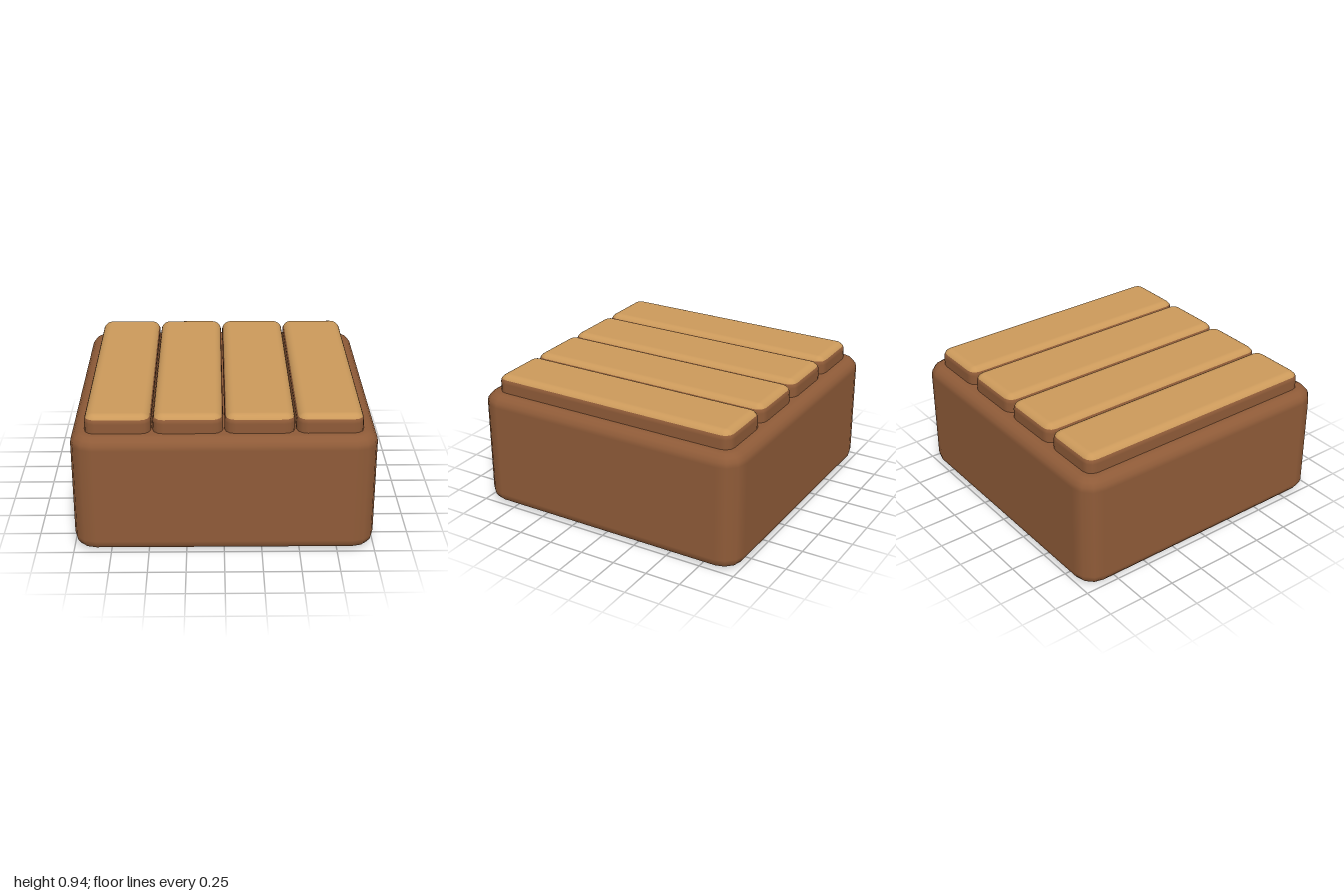
import * as THREE from 'three';

const CORNER_STEPS = 3;

// One profile row of a rounded block: an edge angle phi from -90 (bottom) to 90 (top).
function edgeRows(fromDeg, toDeg, steps, y0, y1, bevelH, bevelV) {
  const rows = [];
  for (let i = 0; i <= steps; i++) {
    const phi = THREE.MathUtils.degToRad(fromDeg + ((toDeg - fromDeg) * i) / steps);
    const s = Math.sin(phi);
    const y = phi < 0 ? y0 + bevelV * (1 + s) : y1 - bevelV * (1 - s);
    rows.push({ phi, y, inset: bevelH * (1 - Math.cos(phi)) });
  }
  return rows;
}

// Stacks rounded-rectangle rings, with smooth normals on the edges and flat faces.
function roundedBlock(width, depth, radius, rows, capTop, capBottom) {
  const position = [], normal = [], index = [];
  const ringSize = 4 * (CORNER_STEPS + 1);
  for (const { phi, y, inset } of rows) {
    for (let c = 0; c < 4; c++) {
      const sx = c === 0 || c === 3 ? 1 : -1;
      const sz = c < 2 ? 1 : -1;
      for (let k = 0; k <= CORNER_STEPS; k++) {
        const a = (c + k / CORNER_STEPS) * Math.PI / 2;
        const ca = Math.cos(a), sa = Math.sin(a);
        position.push(
          sx * (width / 2 - radius) + (radius - inset) * ca, y,
          sz * (depth / 2 - radius) + (radius - inset) * sa);
        normal.push(ca * Math.cos(phi), Math.sin(phi), sa * Math.cos(phi));
      }
    }
  }
  for (let i = 0; i < rows.length - 1; i++) {
    for (let j = 0; j < ringSize; j++) {
      const a = i * ringSize + j, b = i * ringSize + (j + 1) % ringSize;
      const c = a + ringSize, d = b + ringSize;
      index.push(a, c, b, b, c, d);
    }
  }
  const cap = (row, up) => {
    const centre = position.length / 3;
    position.push(0, rows[row].y, 0);
    normal.push(0, up ? 1 : -1, 0);
    for (let j = 0; j < ringSize; j++) {
      const a = row * ringSize + j, b = row * ringSize + (j + 1) % ringSize;
      if (up) index.push(centre, b, a);
      else index.push(centre, a, b);
    }
  };
  if (capTop) cap(rows.length - 1, true);
  if (capBottom) cap(0, false);
  const geometry = new THREE.BufferGeometry();
  geometry.setAttribute('position', new THREE.Float32BufferAttribute(position, 3));
  geometry.setAttribute('normal', new THREE.Float32BufferAttribute(normal, 3));
  geometry.setIndex(index);
  return geometry;
}

export function createModel() {
  const darkWood = new THREE.MeshStandardMaterial({ color: 0x8f5b38 });
  darkWood.name = 'darkWood';
  const lightWood = new THREE.MeshStandardMaterial({ color: 0xcc9a5b });
  lightWood.name = 'lightWood';

  const model = new THREE.Group();
  model.name = 'plankTopBlock';
  const add = (parent, name, geometry, material, x = 0) => {
    const mesh = new THREE.Mesh(geometry, material);
    mesh.name = name;
    mesh.position.x = x;
    parent.add(mesh);
  };

  // Solid body with softened edges
  const bodyRows = [
    ...edgeRows(-90, -0.001, 4, 0, 0.825, 0.09, 0.08),
    ...edgeRows(0, 90, 4, 0, 0.825, 0.09, 0.08),
  ];
  add(model, 'body', roundedBlock(2, 2, 0.15, bodyRows, true, true), darkWood);

  // Four planks: dark sides and a light upper face
  const planks = [[-0.905, -0.473], [-0.463, -0.007], [0.003, 0.459], [0.469, 0.905]];
  const bottom = 0.8, top = 0.945, bevelH = 0.065, bevelV = 0.055, splitAngle = 30;
  planks.forEach(([x0, x1], i) => {
    const plank = new THREE.Group();
    plank.name = `plank${i + 1}`;
    const sideRows = [
      { phi: 0, y: bottom, inset: 0 },
      ...edgeRows(0, splitAngle, 2, bottom, top, bevelH, bevelV),
    ];
    const topRows = edgeRows(splitAngle, 90, 4, bottom, top, bevelH, bevelV);
    const width = x1 - x0, x = (x0 + x1) / 2;
    add(plank, 'plankSides', roundedBlock(width, 1.81, 0.07, sideRows, false, true), darkWood, x);
    add(plank, 'plankTop', roundedBlock(width, 1.81, 0.07, topRows, true, false), lightWood, x);
    model.add(plank);
  });

  return model;
}
